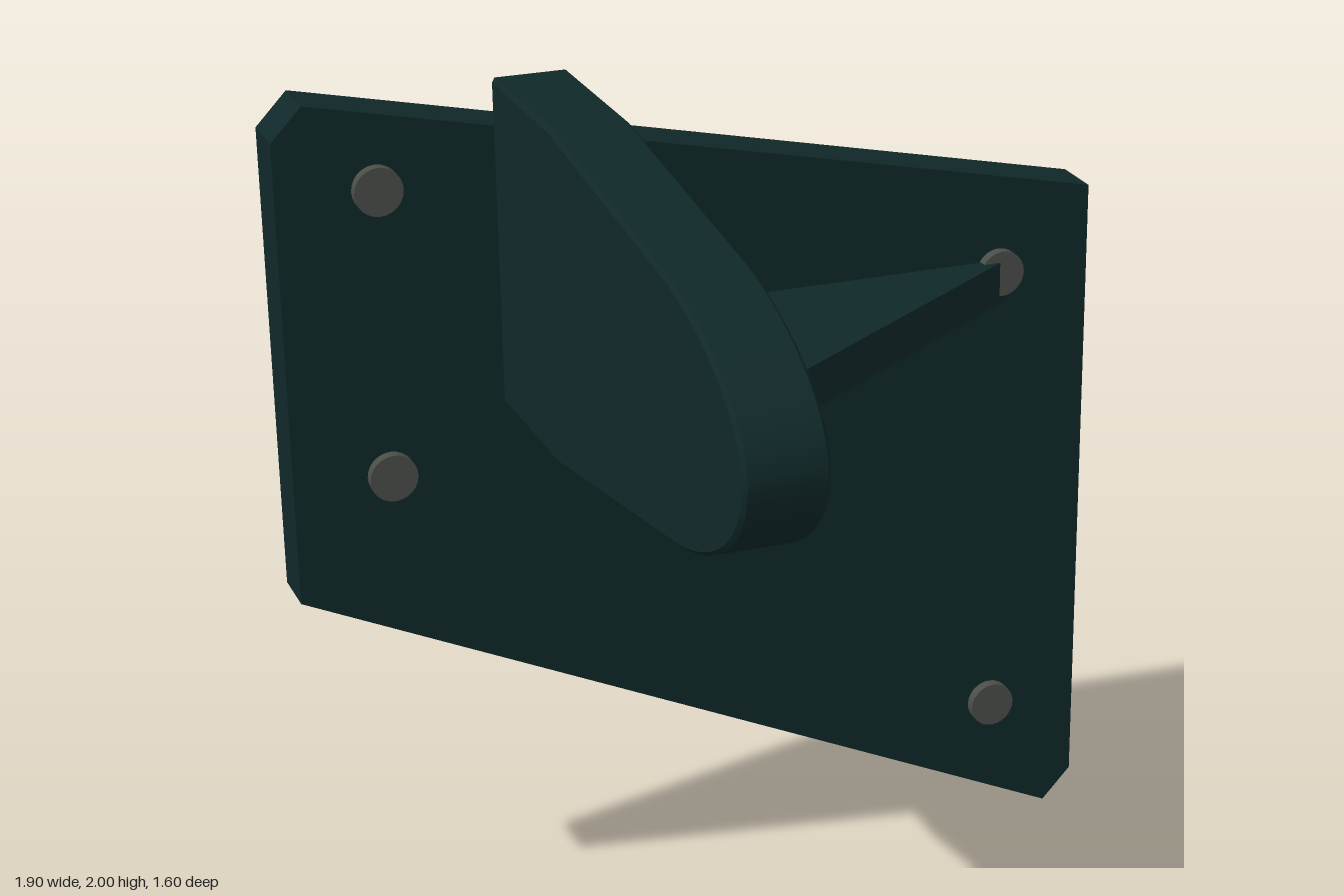
import * as THREE from 'three';
import { toCreasedNormals } from 'three/addons/utils/BufferGeometryUtils.js';

const BACK = -0.8, FACE = -0.675;

function material(name, color) {
  const m = new THREE.MeshStandardMaterial({ color });
  m.name = name;
  return m;
}

function polygon(points) {
  return new THREE.Shape(points.map(([x, y]) => new THREE.Vector2(x, y)));
}

function addMesh(parent, name, geometry, mat) {
  const mesh = new THREE.Mesh(geometry, mat);
  mesh.name = name;
  parent.add(mesh);
  return mesh;
}

export function createModel() {
  const model = new THREE.Group();
  model.name = 'wallBracket';
  const paint = material('dark teal paint', 0x102829);
  const steel = material('dull steel', 0x4a4e48);

  // Slanted mounting plate with two clipped corners
  const plate = polygon([
    [-0.95, 0.86], [0.88, 0.005], [0.95, 0.08],
    [0.95, 1.59], [-0.88, 1.988], [-0.95, 1.915],
  ]);
  addMesh(model, 'mountingPlate',
    new THREE.ExtrudeGeometry(plate, { depth: FACE - BACK, bevelEnabled: false }), paint)
    .position.z = BACK;

  // Round-nosed arm, drawn as (z, y) and extruded across x with a fine bevel
  const arm = new THREE.Shape();
  arm.moveTo(-0.685, 1.263);
  arm.lineTo(-0.3, 1.263);
  arm.lineTo(0.45, 1.38);
  arm.bezierCurveTo(0.68, 1.43, 0.8, 1.54, 0.8, 1.645);
  arm.bezierCurveTo(0.8, 1.75, 0.66, 1.86, 0.41, 1.912);
  arm.lineTo(-0.3, 2);
  arm.lineTo(-0.685, 2);
  arm.closePath();
  const bevel = 0.008, width = 0.174;
  const armGeometry = new THREE.ExtrudeGeometry(arm, {
    depth: width - 2 * bevel, curveSegments: 14,
    bevelThickness: bevel, bevelSize: bevel, bevelOffset: -bevel, bevelSegments: 1,
  });
  armGeometry.rotateY(-Math.PI / 2);
  addMesh(model, 'arm', toCreasedNormals(armGeometry, 0.3), paint)
    .position.x = -0.291 - bevel;

  // Triangular gusset, drawn as (x, -z) and extruded upward
  const gusset = polygon([[-0.3, 0.668], [-0.3, -0.053], [0.745, 0.668]]);
  const gussetGeometry = new THREE.ExtrudeGeometry(gusset, { depth: 0.1, bevelEnabled: false });
  gussetGeometry.rotateX(-Math.PI / 2);
  addMesh(model, 'gusset', gussetGeometry, paint).position.y = 1.34;

  // Bolt heads on the plate face
  const boltGeometry = new THREE.CylinderGeometry(0.054, 0.054, 0.035, 24);
  boltGeometry.rotateX(Math.PI / 2);
  for (const [x, y] of [[-0.73, 1.79], [-0.73, 1.135], [0.725, 1.412], [0.725, 0.307]]) {
    addMesh(model, 'boltHead', boltGeometry, steel).position.set(x, y, -0.6675);
  }

  return model;
}
